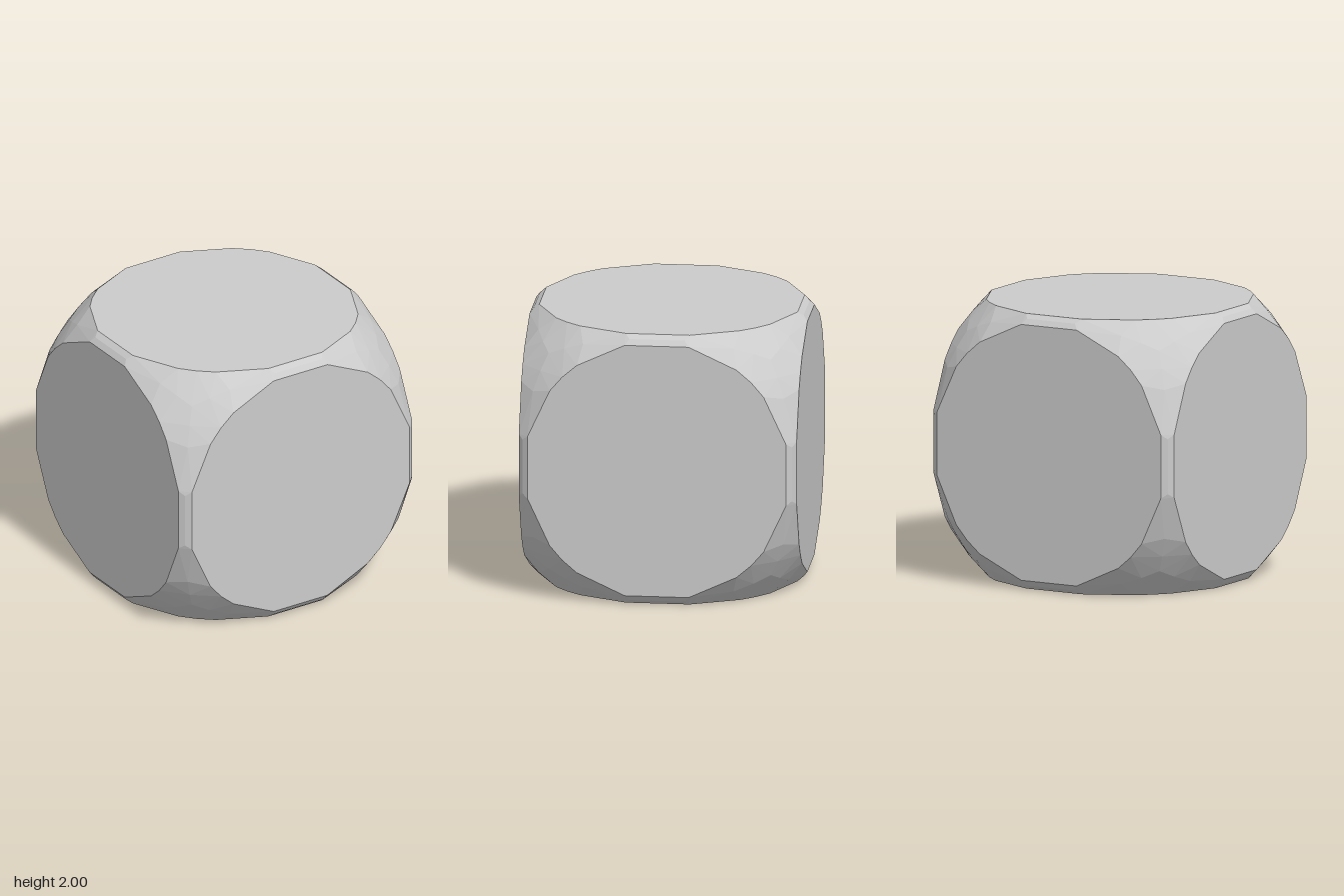
import * as THREE from 'three';
import { ConvexGeometry } from 'three/addons/geometries/ConvexGeometry.js';

const RADIUS = 1.386; // sphere that trims the corners of a cube with half-size 1

// All sign and axis-order variants of one point, without repeats
function symmetric([a, b, c], out) {
  const orders = [[a, b, c], [a, c, b], [b, a, c], [b, c, a], [c, a, b], [c, b, a]];
  for (const [x, y, z] of orders)
    for (const sx of [1, -1])
      for (const sy of [1, -1])
        for (const sz of [1, -1])
          out.set([x * sx, y * sy, z * sz].map((v) => v.toFixed(4)).join(), new THREE.Vector3(x * sx, y * sy, z * sz));
}

export function createModel() {
  const group = new THREE.Group();
  group.name = 'die';
  const points = new Map();

  // Outline of the flat faces, where the sphere meets the cube
  for (const [u, v] of [[0.23, 0.93], [0.575, 0.77], [0.68, 0.68]]) symmetric([u, v, 1], points);

  // Faceted sphere patches: edge strips, edge ends, around the corners, corner tips
  for (const p of [[0.97, 0.97, 0.2], [0.9, 0.9, 0.54], [0.85, 0.85, 0.68], [0.8, 0.8, 0.8]]) {
    const s = RADIUS / Math.hypot(...p);
    symmetric(p.map((v) => v * s), points);
  }

  const geometry = new ConvexGeometry([...points.values()]);
  geometry.translate(0, 1, 0);
  const body = new THREE.Mesh(
    geometry,
    new THREE.MeshStandardMaterial({ color: 0xcccccc, flatShading: true })
  );
  body.name = 'dieBody';
  group.add(body);
  return group;
}
